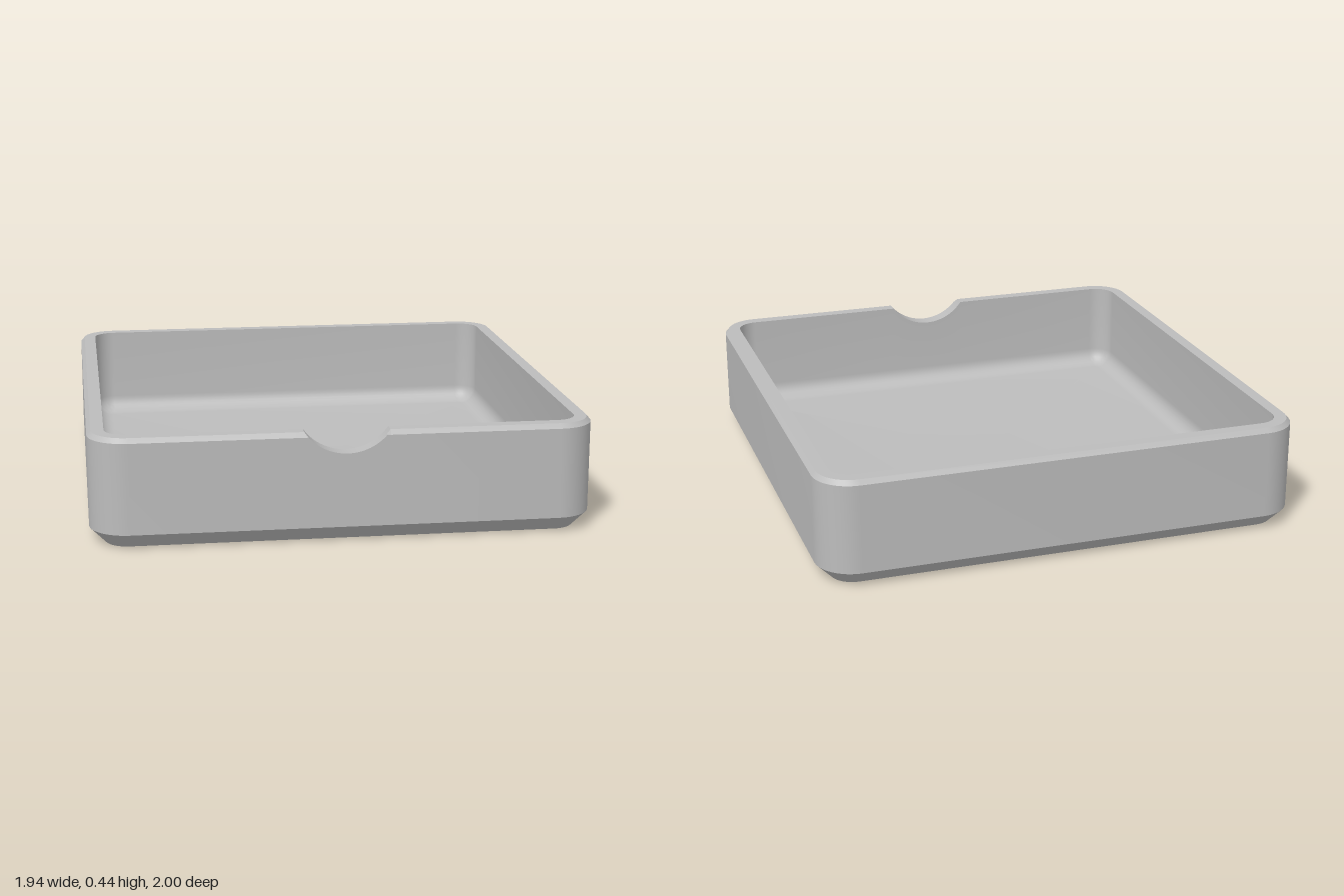
import * as THREE from 'three';
import { toCreasedNormals } from 'three/addons/utils/BufferGeometryUtils.js';

const CX = 0.822, CZ = 0.85;            // centres of the rounded corners
const R = 0.15, WALL = 0.065, TOP = 0.435, FLOOR = 0.06, FILLET = 0.07;
const NOTCH_R = 0.2, NOTCH_Y = TOP + 0.115;   // thumb notch circle

const notchHalf = (y) => Math.sqrt(NOTCH_R ** 2 - (NOTCH_Y - y) ** 2);

// Rounded rectangle as corner centre + direction, with extra points across the notch
function outline() {
  const pts = [];
  const corners = [[1, 1], [-1, 1], [-1, -1], [1, -1]];
  corners.forEach(([sx, sz], k) => {
    for (let i = 0; i <= 12; i++) {
      const a = (k + i / 12) * Math.PI / 2;
      pts.push({ x: sx * CX, z: sz * CZ, dx: Math.cos(a), dz: Math.sin(a) });
    }
    if (k === 0) {
      const half = notchHalf(TOP), edge = notchHalf(TOP - 0.018);
      const xs = [half];
      for (let i = 0; i <= 24; i++) xs.push(edge * (1 - i / 12));
      xs.push(-half);
      xs.forEach((x) => pts.push({ x, z: CZ, dx: 0, dz: 1, notch: true }));
    }
  });
  return pts;
}

// Wall section as [corner radius, height], from the underside over the rim to the floor
function section() {
  const inner = R - WALL;
  const rows = [[R - 0.06, 0], [R, 0.062], [R, TOP - 0.018], [R - 0.016, TOP], [inner, TOP]];
  for (let i = 0; i <= 8; i++) {
    const a = i / 8 * Math.PI / 2;
    rows.push([inner - FILLET * (1 - Math.cos(a)), FLOOR + FILLET * (1 - Math.sin(a))]);
  }
  return rows;
}

function trayGeometry() {
  const loops = section().map(([r, y]) => outline().map((p) => {
    const cut = p.notch ? NOTCH_Y - Math.sqrt(NOTCH_R ** 2 - p.x ** 2) : TOP;
    return [p.x + r * p.dx, Math.min(y, cut), p.z + r * p.dz];
  }));
  const pos = [];
  const tri = (a, b, c) => pos.push(...a, ...b, ...c);
  const n = loops[0].length, last = loops[loops.length - 1];
  for (let i = 0; i < n; i++) {
    const k = (i + 1) % n;
    tri([0, 0, 0], loops[0][i], loops[0][k]);       // underside
    tri(last[i], [0, FLOOR, 0], last[k]);           // inner floor
    for (let j = 0; j < loops.length - 1; j++) {
      const a = loops[j][i], b = loops[j + 1][i], c = loops[j][k], d = loops[j + 1][k];
      tri(a, b, d);
      tri(a, d, c);
    }
  }
  const g = new THREE.BufferGeometry();
  g.setAttribute('position', new THREE.Float32BufferAttribute(pos, 3));
  return toCreasedNormals(g, Math.PI / 7);
}

export function createModel() {
  const group = new THREE.Group();
  group.name = 'openTray';
  const grey = new THREE.MeshStandardMaterial({ color: 0xbcbcbc });
  grey.name = 'lightGrey';
  const tray = new THREE.Mesh(trayGeometry(), grey);
  tray.name = 'trayWithThumbNotch';
  group.add(tray);
  return group;
}
